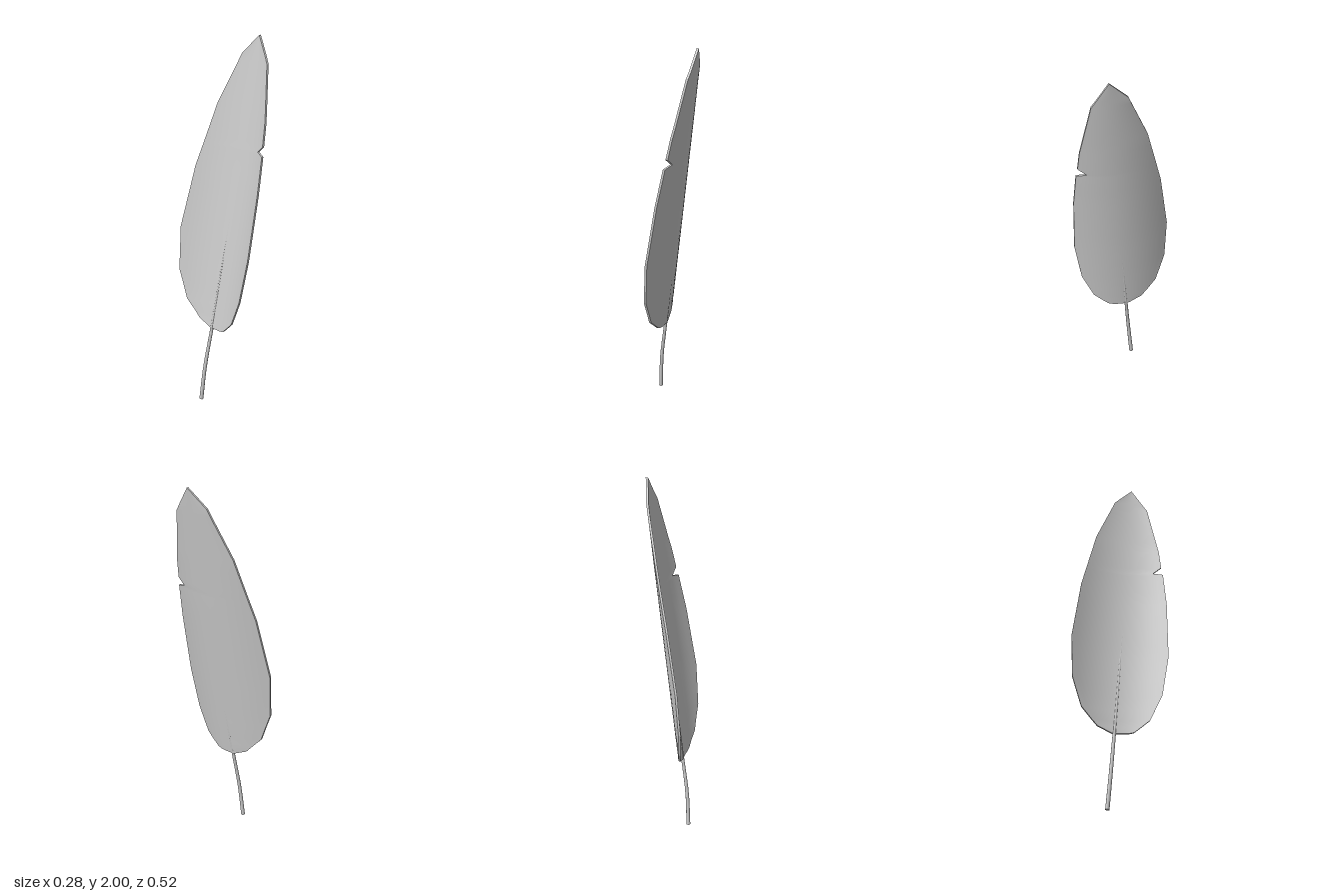
import * as THREE from 'three';
import { mergeGeometries } from 'three/addons/utils/BufferGeometryUtils.js';

// Vane edges as [height, z]; the +z edge carries the small split
const backEdge = [[0.418, -0.04], [0.455, -0.12], [0.55, -0.205], [0.71, -0.255], [0.95, -0.26],
  [1.29, -0.205], [1.63, -0.115], [1.9, 0], [2, 0.1]];
const frontEdge = [[0.418, 0.04], [0.425, 0.07], [0.49, 0.15], [0.63, 0.215], [0.86, 0.255], [1.2, 0.262],
  [1.4, 0.252], [1.415, 0.2], [1.45, 0.245], [1.56, 0.237], [1.86, 0.185], [2, 0.1]];
const THICKNESS = 0.012;
const COLUMNS = 14;

function edgeAt(edge, y) {
  let i = 1;
  while (i < edge.length - 1 && y > edge[i][0]) i++;
  const [y0, z0] = edge[i - 1], [y1, z1] = edge[i];
  return z0 + (z1 - z0) * (y - y0) / (y1 - y0);
}

// The vane leans along the midrib and curls back on both sides of it
const ribX = (y) => -0.09 + 0.14 * (y - 0.42);
const ribZ = (y) => -0.07 + 0.092 * y;
const vaneX = (y, z) => ribX(y) - 1.15 * (z - ribZ(y)) ** 2;

function geometryFrom(points, index) {
  const g = new THREE.BufferGeometry();
  g.setAttribute('position', new THREE.Float32BufferAttribute(points.flat(), 3));
  if (index) g.setIndex(index);
  g.computeVertexNormals();
  return index ? g.toNonIndexed() : g;
}

function vaneGeometry() {
  const heights = [...new Set([...backEdge, ...frontEdge].map((p) => p[0]))].sort((a, b) => a - b);
  const rows = heights.map((y) => {
    const z0 = edgeAt(backEdge, y), z1 = edgeAt(frontEdge, y);
    return Array.from({ length: COLUMNS + 1 }, (_, i) => {
      const z = z0 + (z1 - z0) * i / COLUMNS;
      return [vaneX(y, z), y, z];
    });
  });
  const shift = ([x, y, z]) => [x + THICKNESS, y, z];

  // Inner and outer sheets
  const inner = [], outer = [], w = COLUMNS + 1;
  for (let r = 0; r < rows.length - 1; r++) {
    for (let c = 0; c < COLUMNS; c++) {
      const a = r * w + c, b = a + 1, d = a + w, e = d + 1;
      inner.push(a, b, d);
      outer.push(a, d, b);
      if (r < rows.length - 2) { // the last row closes to the tip
        inner.push(b, e, d);
        outer.push(b, d, e);
      }
    }
  }
  const sheet = rows.flat();

  // Rim around the outline
  const loop = [...rows[0], ...rows.slice(1).map((r) => r[COLUMNS]),
    ...rows.slice(1, -1).map((r) => r[0]).reverse()];
  const rim = [];
  loop.forEach((p, i) => {
    const q = loop[(i + 1) % loop.length];
    rim.push(p, shift(p), shift(q), p, shift(q), q);
  });

  return mergeGeometries([geometryFrom(sheet, inner), geometryFrom(sheet.map(shift), outer), geometryFrom(rim)]);
}

// Tapered quill: a tube whose rings shrink towards the top
function shaftGeometry(curve, segments, r0, r1) {
  const g = new THREE.TubeGeometry(curve, segments, 1, 10);
  const pos = g.attributes.position, uv = g.attributes.uv, v = new THREE.Vector3();
  for (let i = 0; i < pos.count; i++) {
    const t = uv.getX(i), centre = curve.getPointAt(t);
    v.fromBufferAttribute(pos, i).sub(centre).multiplyScalar(r0 + (r1 - r0) * t).add(centre);
    pos.setXYZ(i, v.x, v.y, v.z);
  }
  return g;
}

export function createModel() {
  const group = new THREE.Group();
  group.name = 'feather';
  const material = new THREE.MeshStandardMaterial({ color: 0xcccccc });

  const vane = new THREE.Mesh(vaneGeometry(), material);
  vane.name = 'vane';
  group.add(vane);

  const path = new THREE.CatmullRomCurve3([
    new THREE.Vector3(-0.13, 0.002, -0.072),
    new THREE.Vector3(-0.117, 0.2, -0.053),
    ...[0.42, 0.8, 1.2, 1.55, 1.85].map((y) => new THREE.Vector3(ribX(y) + THICKNESS / 2 - 0.001, y, ribZ(y))),
  ]);
  const shaft = new THREE.Mesh(shaftGeometry(path, 32, 0.011, 0.001), material);
  shaft.name = 'shaft';
  group.add(shaft);

  // Closed lower end of the quill
  const tip = new THREE.Mesh(new THREE.CircleGeometry(0.011, 10), material);
  tip.name = 'shaftEnd';
  tip.position.copy(path.getPointAt(0));
  tip.lookAt(tip.position.clone().sub(path.getTangentAt(0)));
  group.add(tip);

  return group;
}
